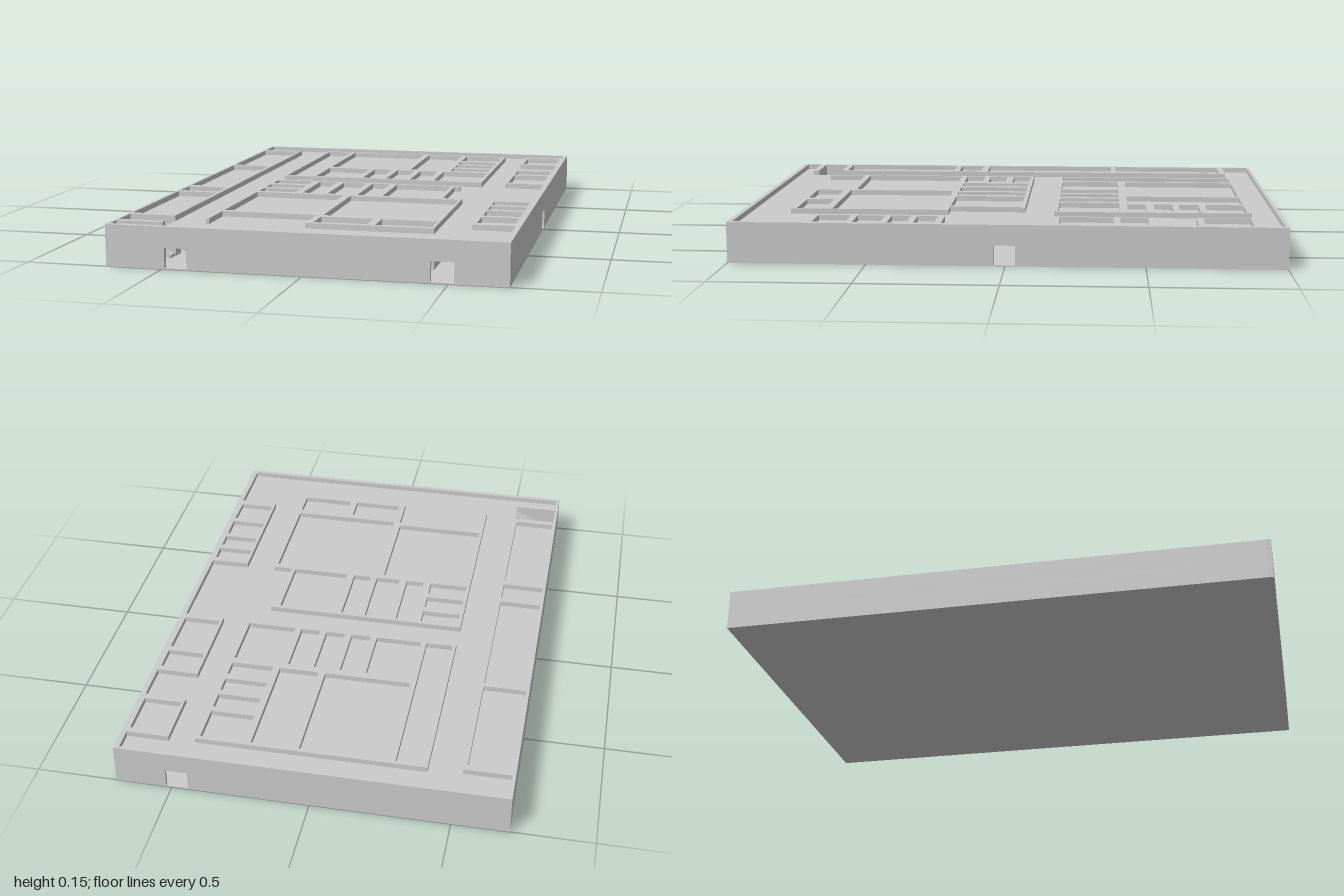
import * as THREE from 'three';
import { mergeGeometries } from 'three/addons/utils/BufferGeometryUtils.js';

const FLOOR = 0.004, DOOR = 0.055, GATE = 0.075, DECK = 0.13, TOP = 0.15;
const material = new THREE.MeshStandardMaterial({ color: 0xcccccc, flatShading: true });

// Plan rectangles are [x0, z0, x1, z1]
const column = (x0, x1, spans) => spans.map(([z0, z1]) => [x0, z0, x1, z1]);
const row = (z0, z1, spans) => spans.map(([x0, x1]) => [x0, z0, x1, z1]);

function boxOf([x0, z0, x1, z1], y0, y1) {
  return new THREE.BoxGeometry(x1 - x0, y1 - y0, z1 - z0)
    .translate((x0 + x1) / 2, (y0 + y1) / 2, (z0 + z1) / 2);
}

// Solid rectangles minus cut rectangles, as boxes in strips
function planBoxes(solids, cuts, y0, y1) {
  const all = [...solids, ...cuts];
  const sorted = (a, b) => [...new Set(all.flatMap(r => [r[a], r[b]]))].sort((p, q) => p - q);
  const xs = sorted(0, 2), zs = sorted(1, 3), boxes = [];
  const hit = (list, x, z) => list.some(r => x > r[0] && x < r[2] && z > r[1] && z < r[3]);
  let open = new Map();
  const flush = runs => runs.forEach(r => boxes.push(boxOf(r, y0, y1)));
  for (let j = 0; j < zs.length - 1; j++) {
    const z = (zs[j] + zs[j + 1]) / 2, next = new Map();
    let start = null;
    for (let i = 0; i < xs.length; i++) {
      const x = (xs[i] + xs[i + 1]) / 2;
      const solid = i < xs.length - 1 && hit(solids, x, z) && !hit(cuts, x, z);
      if (solid && start === null) start = xs[i];
      if (!solid && start !== null) {
        // Extend the same run from the strip before, if there is one
        const key = start + ':' + xs[i], old = open.get(key);
        next.set(key, [start, old ? old[1] : zs[j], xs[i], zs[j + 1]]);
        open.delete(key);
        start = null;
      }
    }
    flush(open);
    open = next;
  }
  flush(open);
  return boxes;
}

function walls(name, blocks, rooms, doors, height) {
  const geometry = mergeGeometries([
    ...planBoxes(blocks, [...rooms, ...doors], FLOOR, height),
    ...planBoxes(blocks, rooms, height, TOP),
  ]);
  return named(name, geometry);
}

function named(name, geometry) {
  const mesh = new THREE.Mesh(geometry, material);
  mesh.name = name;
  return mesh;
}

export function createModel() {
  const group = new THREE.Group();
  group.name = 'building';
  const outline = [-0.705, -1, 0.705, 1], inside = [-0.693, -0.988, 0.685, 0.982];
  const stairwell = [-0.693, 0.8, -0.525, 0.9];

  group.add(named('groundFloor', boxOf(outline, 0, FLOOR)));
  group.add(named('upperDeck', mergeGeometries(planBoxes([inside], [stairwell], DECK - 0.012, DECK))));

  // Outer walls with two front gates, one back gate and one side gate
  group.add(walls('outerWalls', [outline], [inside], [
    [-0.49, 0.98, -0.41, 1], [0.44, 0.98, 0.52, 1],
    [0.44, -1, 0.52, -0.98], [0.68, -0.035, 0.705, 0.04],
  ], GATE));

  // Long row of rooms on the x- side, and the wall beside the stairs
  group.add(walls('longRoomWalls',
    [[-0.693, -0.88, -0.522, 0.8], [-0.693, 0.9, -0.522, 0.925]],
    column(-0.693, -0.535, [[-0.855, -0.405], [-0.385, 0.155], [0.185, 0.28], [0.305, 0.775]]),
    column(-0.535, -0.522, [[-0.825, -0.785], [-0.46, -0.42], [-0.25, -0.21], [0.09, 0.13],
      [0.21, 0.25], [0.33, 0.37], [0.71, 0.75]]), DOOR));

  // Central block at the back
  group.add(walls('backBlockWalls', [[-0.4, -0.895, 0.435, -0.165]], [
    [-0.387, -0.88, -0.285, -0.18],
    ...row(-0.88, -0.44, [[-0.265, 0.06], [0.085, 0.235]]),
    ...column(0.26, 0.42, [[-0.88, -0.735], [-0.71, -0.635], [-0.61, -0.54], [-0.51, -0.44]]),
    ...row(-0.41, -0.18, [[-0.265, -0.09], [-0.065, 0.01], [0.035, 0.11], [0.135, 0.21], [0.235, 0.42]]),
  ], [
    ...row(-0.895, -0.88, [[-0.11, -0.07], [0.13, 0.17], [0.33, 0.37]]),
    ...row(-0.18, -0.165, [[-0.2, -0.16], [-0.05, -0.01], [0.055, 0.095], [0.15, 0.19]]),
    ...column(-0.4, -0.387, [[-0.83, -0.785], [-0.56, -0.515], [-0.25, -0.21]]),
    ...column(0.42, 0.435, [[-0.69, -0.65], [-0.595, -0.555], [-0.495, -0.455], [-0.24, -0.2]]),
  ], DOOR));

  // Central block at the front, with an open bay at its front corner
  group.add(walls('frontBlockWalls', [
    [-0.4, -0.055, 0.345, 0.23], [0.345, -0.055, 0.365, -0.04], [-0.4, 0.23, 0.42, 0.825],
  ], [
    ...column(-0.387, -0.24, [[-0.04, 0.03], [0.06, 0.13], [0.155, 0.23]]),
    ...row(-0.04, 0.23, [[-0.21, -0.14], [-0.11, -0.015], [0.01, 0.08], [0.11, 0.33]]),
    [-0.387, 0.255, -0.04, 0.65], [-0.01, 0.255, 0.41, 0.67],
    [-0.387, 0.675, -0.035, 0.83],
    ...row(0.7, 0.805, [[-0.01, 0.18], [0.21, 0.41]]),
  ], [
    ...row(-0.055, -0.04, [[-0.34, -0.3], [-0.195, -0.155], [-0.08, -0.04], [0.025, 0.065], [0.2, 0.24]]),
    ...row(0.805, 0.825, [[0.03, 0.07], [0.31, 0.35]]),
    ...column(-0.4, -0.387, [[0.075, 0.115], [0.17, 0.21], [0.55, 0.59]]),
    ...column(0.41, 0.42, [[0.3, 0.34], [0.48, 0.52]]),
  ], DOOR));

  // Three small groups of rooms on the x+ side
  group.add(walls('sideRoomWalls', [
    [0.53, -0.905, 0.685, -0.685], [0.53, -0.535, 0.685, -0.165], [0.535, 0.23, 0.685, 0.725],
  ], [
    ...column(0.54, 0.68, [[-0.88, -0.71], [-0.51, -0.41], [-0.385, -0.19]]),
    ...column(0.547, 0.68, [[0.255, 0.33], [0.355, 0.425], [0.45, 0.55], [0.575, 0.695]]),
  ], column(0.53, 0.547, [[-0.82, -0.78], [-0.48, -0.44], [-0.3, -0.26],
    [0.27, 0.31], [0.37, 0.41], [0.48, 0.52], [0.61, 0.65]]), DOOR));

  // Two ramped flights that meet at a half landing
  const landing = 0.067, t = 0.01, low = -0.67, out = -0.525;
  const flight = (name, yOut, z0, z1) => {
    const shape = new THREE.Shape([
      new THREE.Vector2(low, landing - t), new THREE.Vector2(out, yOut - t),
      new THREE.Vector2(out, yOut), new THREE.Vector2(low, landing),
    ]);
    const geometry = new THREE.ExtrudeGeometry(shape, { depth: z1 - z0, bevelEnabled: false });
    group.add(named(name, geometry.translate(0, 0, z0)));
  };
  flight('lowerStairFlight', FLOOR + t, 0.8, 0.85);
  flight('upperStairFlight', DECK, 0.85, 0.9);
  group.add(named('stairLanding', boxOf([-0.693, 0.8, low, 0.9], landing - t, landing)));
  return group;
}
